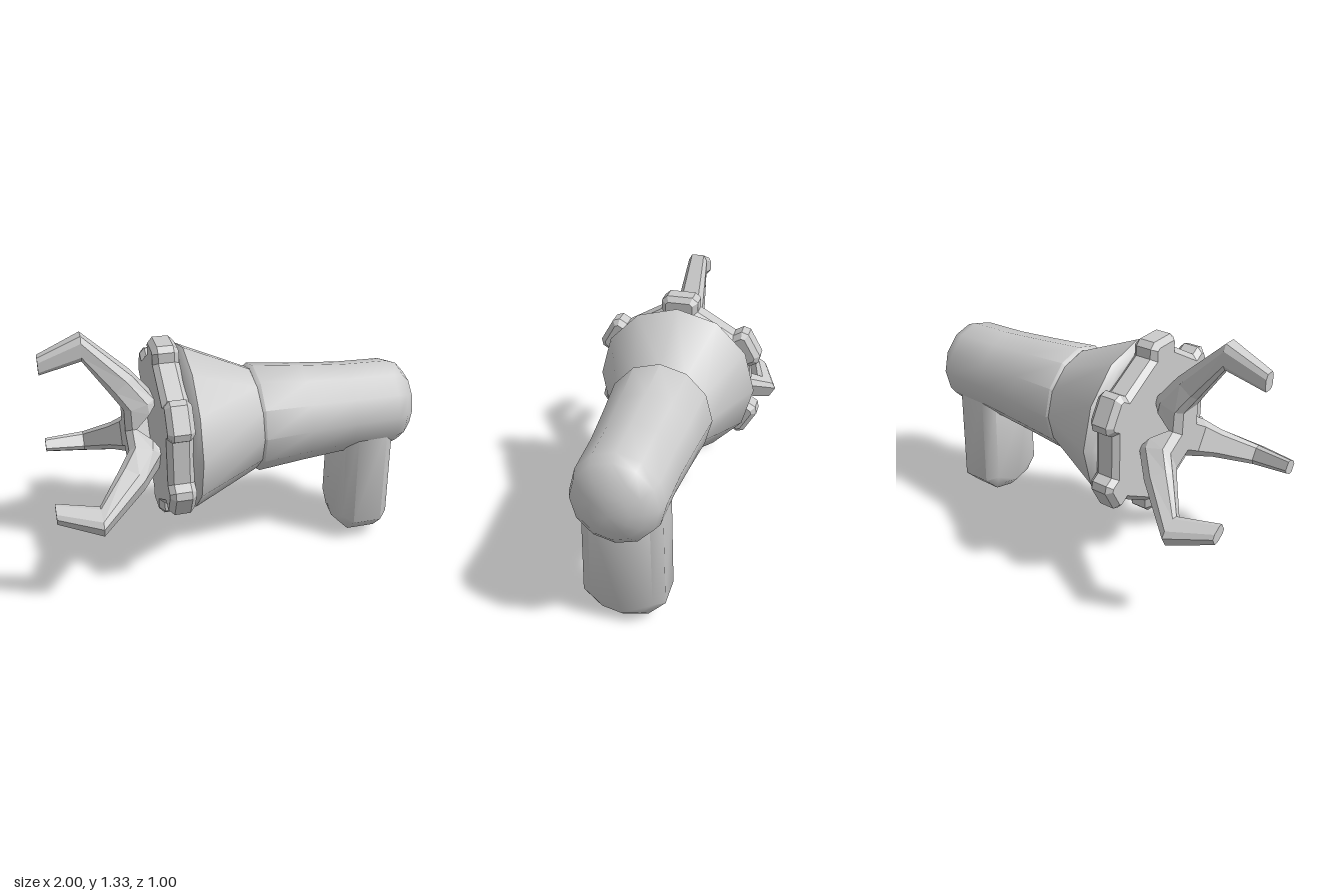
import * as THREE from 'three';
import { toCreasedNormals } from 'three/addons/utils/BufferGeometryUtils.js';

const AXIS_Y = 0.77;
const material = new THREE.MeshStandardMaterial({ color: 0xcccccc });
const flat = new THREE.MeshStandardMaterial({ color: 0xcccccc, flatShading: true });

function part(name, geometry, mat = material) {
  const mesh = new THREE.Mesh(geometry, mat);
  mesh.name = name;
  return mesh;
}

// Twelve-sided turned part along x from [x, radius] pairs
function turned(profile, crease, zScale = 1) {
  const g = new THREE.LatheGeometry(profile.map(([x, r]) => new THREE.Vector2(r, x)), 12);
  g.rotateZ(-Math.PI / 2);
  g.scale(1, 1, zScale);
  return toCreasedNormals(g, crease);
}

// Outline extruded along x between x0 and x1 with bevelled rims
function slab(points, x0, x1, bevel, bevelSegments = 1) {
  const g = new THREE.ExtrudeGeometry(new THREE.Shape(points), {
    depth: x1 - x0 - 2 * bevel, bevelEnabled: true, bevelSize: bevel,
    bevelThickness: bevel, bevelOffset: -bevel, bevelSegments,
  });
  g.rotateY(Math.PI / 2);
  g.translate(x0 + bevel, 0, 0);
  return g;
}

// Hexagonal ring with a chamfered knob at each corner
function knobRing() {
  const points = [];
  const knob = [[-0.1, 0.404], [-0.1, 0.455], [-0.07, 0.482], [0.07, 0.482], [0.1, 0.455], [0.1, 0.404]];
  for (let i = 0; i < 6; i++) {
    const a = i * Math.PI / 3, c = Math.cos(a), s = Math.sin(a);
    for (const [w, r] of knob) points.push(new THREE.Vector2(w * c + r * s, r * c - w * s));
  }
  return slab(points.reverse(), -0.45, -0.315, 0.027);
}

// Hooked finger lofted through chamfered cross-sections
function clawGeometry() {
  // outer x, outer y, inner x, inner y, half width
  const stations = [
    [-0.44, 0.18, -0.605, 0, 0.105],
    [-0.45, 0.2, -0.605, 0.155, 0.1],
    [-0.55, 0.33, -0.665, 0.245, 0.075],
    [-0.785, 0.56, -0.79, 0.43, 0.052],
    [-1, 0.465, -1, 0.375, 0.036],
  ];
  const section = [[0, 0.65], [0.25, 1], [0.8, 1], [1, 0.65], [1, -0.65], [0.8, -1], [0.25, -1], [0, -0.65]];
  const n = section.length, pos = [], index = [];
  for (const [ox, oy, ix, iy, hw] of stations)
    for (const [t, w] of section) pos.push(ox + (ix - ox) * t, oy + (iy - oy) * t, w * hw);
  for (let s = 0; s < stations.length - 1; s++)
    for (let i = 0; i < n; i++) {
      const a = s * n + i, b = s * n + (i + 1) % n;
      index.push(a, b + n, b, a, a + n, b + n);
    }
  const end = (stations.length - 1) * n;
  for (let i = 1; i < n - 1; i++) {
    index.push(end, end + i + 1, end + i); // tip
    index.push(0, i, i + 1); // root
  }
  const g = new THREE.BufferGeometry();
  g.setAttribute('position', new THREE.Float32BufferAttribute(pos, 3));
  g.setIndex(index);
  g.computeVertexNormals();
  return g;
}

export function createModel() {
  const model = new THREE.Group();
  model.name = 'clawDevice';

  const barrel = new THREE.Group();
  barrel.name = 'barrelAssembly';
  barrel.position.y = AXIS_Y;
  model.add(barrel);

  // Tapered body with a domed rear
  barrel.add(part('body', turned([
    [0.07, 0], [0.07, 0.28], [0.09, 0.294], [0.35, 0.268], [0.6, 0.247], [0.845, 0.241],
    [0.9, 0.222], [0.95, 0.165], [0.975, 0.1], [1, 0],
  ], 0.75, 0.96)));

  // Flared front with a rolled rim
  barrel.add(part('flaredFront', turned([
    [-0.32, 0], [-0.32, 0.385], [-0.31, 0.41], [-0.28, 0.437], [0.08, 0.274], [0.08, 0],
  ], 0.9)));

  barrel.add(part('knobRing', knobRing(), flat));

  // Three claws around the axis
  const claw = clawGeometry();
  for (let i = 0; i < 3; i++) {
    const finger = part('claw' + (i + 1), claw, flat);
    finger.rotation.x = i * Math.PI * 2 / 3;
    barrel.add(finger);
  }

  // Grip with a rounded foot
  const grip = [
    [0, 0.002], [0.125, 0.035], [0.212, 0.125], [0.2, 0.7],
    [-0.2, 0.7], [-0.212, 0.125], [-0.125, 0.035],
  ].map(([z, y]) => new THREE.Vector2(z, y));
  model.add(part('grip', toCreasedNormals(slab(grip, 0.58, 0.845, 0.052), 0.85)));

  return model;
}
